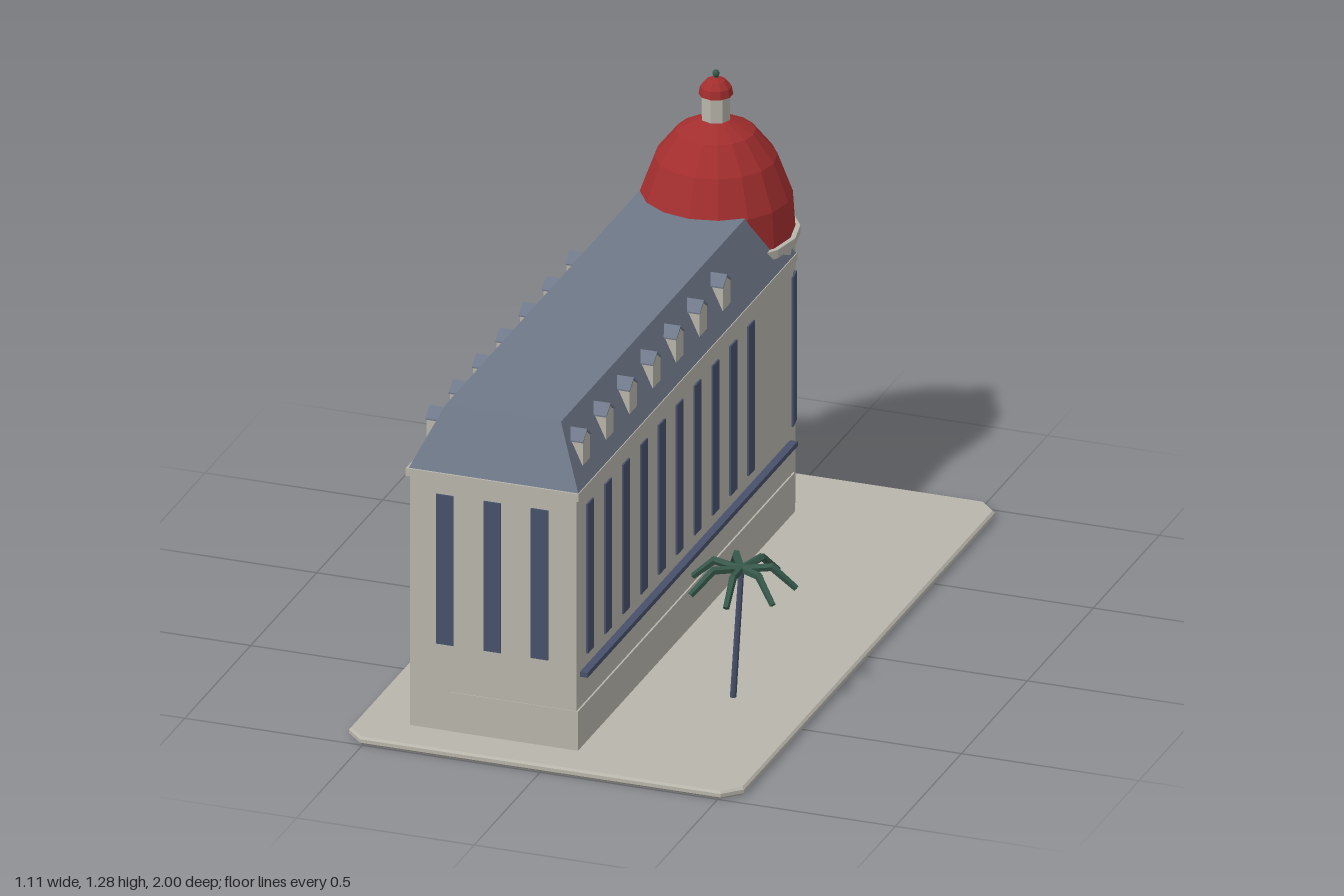
import * as THREE from 'three';

const mat = (name, color) => Object.assign(new THREE.MeshStandardMaterial({ color }), { name });

export function createModel() {
  const stone = mat('stone', 0xb8b5ab);
  const slate = mat('slate', 0x6f7989);
  const glass = mat('windowBlue', 0x48516b);
  const red = mat('domeRed', 0xa32e2e);
  const green = mat('palmGreen', 0x36584a);

  const model = new THREE.Group();
  model.name = 'domedBuilding';

  // Adds a mesh with faceted normals
  function add(parent, name, geometry, material, x = 0, y = 0, z = 0) {
    const g = geometry.index ? geometry.toNonIndexed() : geometry;
    g.computeVertexNormals();
    const mesh = new THREE.Mesh(g, material);
    mesh.name = name;
    mesh.position.set(x, y, z);
    parent.add(mesh);
    return mesh;
  }
  // Box given by its minimum and maximum corners
  function block(parent, name, material, a, b) {
    return add(parent, name, new THREE.BoxGeometry(b[0] - a[0], b[1] - a[1], b[2] - a[2]), material,
      (a[0] + b[0]) / 2, (a[1] + b[1]) / 2, (a[2] + b[2]) / 2);
  }
  // Straight round bar between two points
  function bar(parent, name, material, a, b, ra, rb, sides) {
    const dir = b.clone().sub(a);
    const mesh = add(parent, name, new THREE.CylinderGeometry(rb, ra, dir.length(), sides), material);
    mesh.position.copy(a).add(b).multiplyScalar(0.5);
    mesh.quaternion.setFromUnitVectors(new THREE.Vector3(0, 1, 0), dir.normalize());
    return mesh;
  }
  const shapeOf = pts => new THREE.Shape(pts.map(p => new THREE.Vector2(...p)));
  const lathe = (pts, n) => new THREE.LatheGeometry(pts.map(p => new THREE.Vector2(...p)), n);

  // Ground slab with cut corners and a small bevel
  const hx = 0.55, hz = 0.994, c = 0.045;
  const slabShape = shapeOf([[-hx + c, -hz], [hx - c, -hz], [hx, -hz + c], [hx, hz - c],
    [hx - c, hz], [-hx + c, hz], [-hx, hz - c], [-hx, -hz + c]]);
  const slab = new THREE.ExtrudeGeometry(slabShape, {
    depth: 0.01, bevelEnabled: true, bevelSize: 0.006, bevelThickness: 0.006, bevelSegments: 1,
  });
  slab.rotateX(-Math.PI / 2);
  add(model, 'groundSlab', slab, stone, 0, 0.006, 0);

  // Long main wing
  const cx = -0.175;
  block(model, 'mainWalls', stone, [-0.41, 0.02, -0.76], [0.058, 0.75, 0.88]);
  block(model, 'plinth', stone, [-0.3, 0.02, -0.762], [0.063, 0.135, 0.882]);
  block(model, 'cornice', stone, [-0.42, 0.744, -0.772], [0.066, 0.766, 0.887]);
  block(model, 'sideRail', glass, [0.055, 0.224, -0.738], [0.08, 0.238, 0.855]);

  // Hipped flat-topped roof: the top of a box is drawn inwards
  const roof = new THREE.BoxGeometry(0.478, 0.165, 1.652);
  const p = roof.attributes.position;
  for (let i = 0; i < p.count; i++) {
    if (p.getY(i) > 0) {
      p.setX(i, p.getX(i) - Math.sign(p.getX(i)) * 0.077);
      p.setZ(i, p.getZ(i) - Math.sign(p.getZ(i)) * 0.075);
    }
  }
  add(model, 'mansardRoof', roof, slate, cx, 0.8475, 0.056);

  // Tall windows on the long sides and the front
  const winY = 0.487, winH = 0.432, winW = 0.048;
  for (let i = 0; i < 10; i++) {
    const z = 0.783 - i * 0.1355;
    for (const x of [0.059, -0.411]) {
      add(model, 'sideWindow', new THREE.BoxGeometry(0.008, winH, winW), glass, x, winY, z);
    }
  }
  for (const x of [-0.312, -0.178, -0.045]) {
    add(model, 'frontWindow', new THREE.BoxGeometry(winW, winH, 0.008), glass, x, winY, 0.881);
  }

  // Dormers along both roof slopes
  const bodyShape = shapeOf([[-0.028, 0], [0.028, 0], [0.028, 0.066], [0, 0.087], [-0.028, 0.066]]);
  const capShape = shapeOf([[-0.032, 0.066], [0, 0.09], [0.032, 0.066], [0.032, 0.07],
    [0, 0.095], [-0.032, 0.07]]);
  const prism = (shape, depth) => new THREE.ExtrudeGeometry(shape, { depth, bevelEnabled: false });
  for (const side of [1, -1]) {
    for (let i = 0; i < 7; i++) {
      const dormer = new THREE.Group();
      dormer.name = 'dormer';
      add(dormer, 'dormerBody', prism(bodyShape, 0.05), stone);
      add(dormer, 'dormerRoof', prism(capShape, 0.052), slate);
      dormer.position.set(cx + side * 0.17, 0.808, 0.769 - i * 0.177);
      dormer.rotation.y = side * Math.PI / 2;
      model.add(dormer);
    }
  }

  // Round corner tower with dome and lantern
  const tower = new THREE.Group();
  tower.name = 'tower';
  tower.position.set(-0.15, 0, -0.737);
  model.add(tower);
  add(tower, 'towerWall', new THREE.CylinderGeometry(0.21, 0.21, 0.79, 16), stone, 0, 0.415, 0);
  add(tower, 'towerCornice', new THREE.CylinderGeometry(0.223, 0.223, 0.024, 16), stone, 0, 0.812, 0);
  add(tower, 'dome', lathe([[0.21, 0.822], [0.203, 0.925], [0.163, 1.032], [0.105, 1.105],
    [0.04, 1.138], [0, 1.14]], 16), red);
  add(tower, 'lantern', new THREE.CylinderGeometry(0.04, 0.04, 0.085, 8), stone, 0, 1.17, 0);
  add(tower, 'lanternDome', lathe([[0, 1.208], [0.046, 1.208], [0.042, 1.23], [0.026, 1.248],
    [0, 1.256]], 10), red);
  add(tower, 'finialRod', new THREE.CylinderGeometry(0.005, 0.005, 0.02, 6), green, 0, 1.26, 0);
  add(tower, 'finialBall', new THREE.SphereGeometry(0.01, 8, 6), green, 0, 1.267, 0);
  for (const deg of [80, 31, -18, -67]) {
    const a = deg * Math.PI / 180, dx = Math.sin(a), dz = -Math.cos(a);
    const w = add(tower, 'towerWindow', new THREE.BoxGeometry(winW, winH, 0.009), glass,
      dx * 0.208, winY, dz * 0.208);
    w.rotation.y = Math.atan2(dx, dz);
  }

  // Palm tree with seven drooping fronds
  const palm = new THREE.Group();
  palm.name = 'palmTree';
  model.add(palm);
  const crown = new THREE.Vector3(0.346, 0.395, 0.406);
  bar(palm, 'palmTrunk', glass, new THREE.Vector3(0.324, 0.0, 0.413), crown, 0.009, 0.008, 7);
  for (let i = 0; i < 7; i++) {
    const a = (86 + i * 360 / 7) * Math.PI / 180;
    const at = (r, y) => new THREE.Vector3(crown.x + r * Math.cos(a), y, crown.z + r * Math.sin(a));
    bar(palm, 'frondInner', green, at(0, 0.392), at(0.083, 0.4), 0.011, 0.011, 5);
    bar(palm, 'frondOuter', green, at(0.078, 0.402), at(0.145, 0.34), 0.011, 0.009, 5);
  }
  return model;
}
